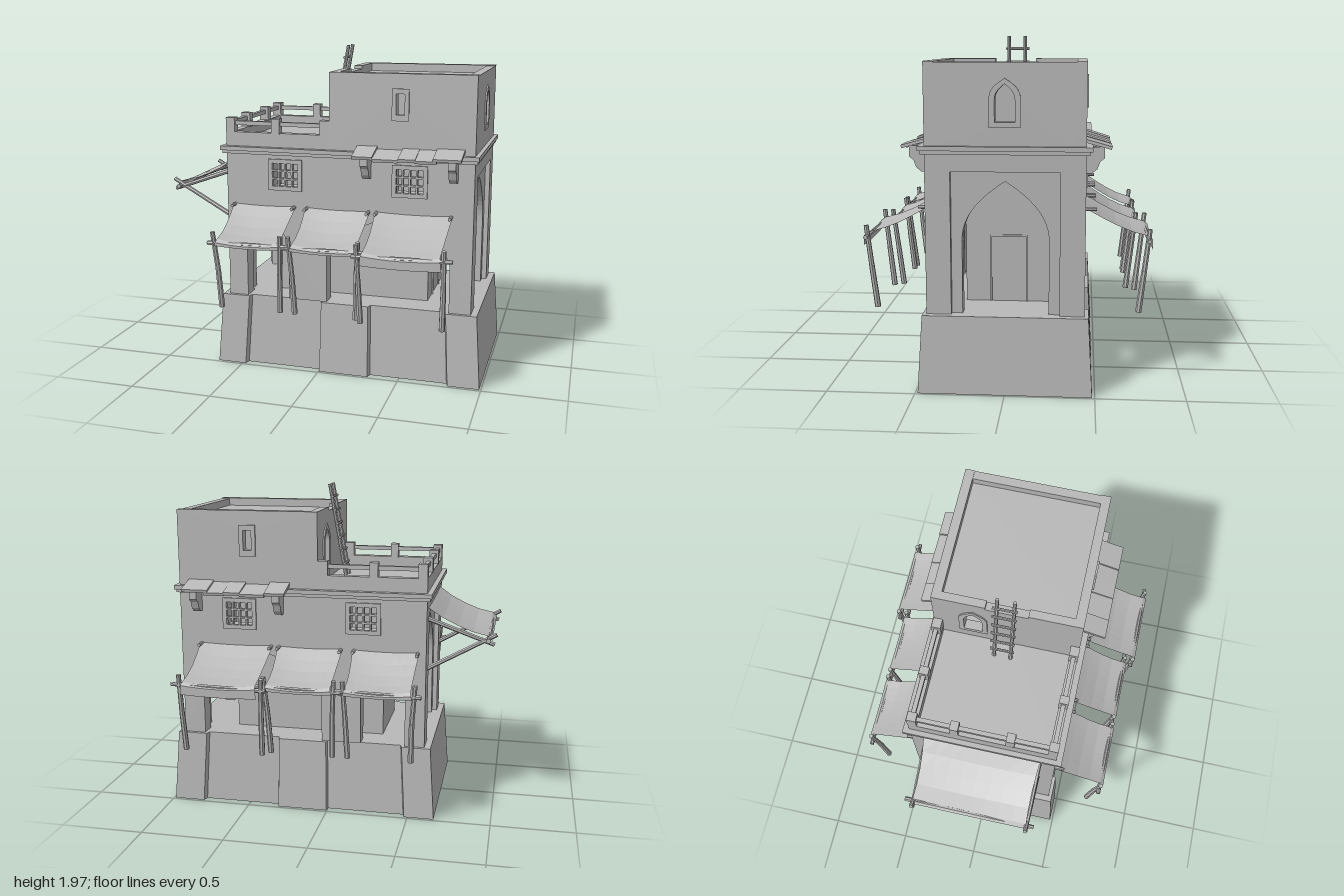
import * as THREE from 'three';

export function createModel() {
  const root = new THREE.Group();
  const clay = new THREE.MeshStandardMaterial({ color: 0xb8b8b8, flatShading: true, side: THREE.DoubleSide });
  clay.name = 'clay grey';

  const add = (name, geo, parent = root) => {
    const m = new THREE.Mesh(geo, clay);
    m.name = name;
    parent.add(m);
    return m;
  };
  // Box given by its extents
  const box = (name, x0, x1, y0, y1, z0, z1) => {
    const m = add(name, new THREE.BoxGeometry(x1 - x0, y1 - y0, Math.abs(z1 - z0)));
    m.position.set((x0 + x1) / 2, (y0 + y1) / 2, (z0 + z1) / 2);
    return m;
  };
  // Round pole between two points
  const pole = (name, a, b, r = 0.013) => {
    const A = new THREE.Vector3(...a), B = new THREE.Vector3(...b), d = B.clone().sub(A);
    const m = add(name, new THREE.CylinderGeometry(r, r * 1.1, d.length(), 7));
    m.position.copy(A).addScaledVector(d, 0.5);
    m.quaternion.setFromUnitVectors(new THREE.Vector3(0, 1, 0), d.normalize());
    return m;
  };
  const path = pts => pts.map(p => new THREE.Vector2(...p));
  const rect = (x0, x1, y0, y1) => [[x0, y0], [x0, y1], [x1, y1], [x1, y0]];
  // Pointed arch outline, from left foot over the peak to right foot
  const arch = (x0, x1, y0, spring, peak, n = 10) => {
    const c = (x0 + x1) / 2, hw = (x1 - x0) / 2, left = [], right = [];
    for (let i = 0; i <= n; i++) {
      const s = i / n, w = hw * (1 - s ** 2.2), y = spring + (peak - spring) * s;
      left.push([c - w, y]);
      if (i < n) right.unshift([c + w, y]);
    }
    return [[x0, y0], ...left, ...right, [x1, y0]];
  };
  // Wall with open notches at its foot and closed holes, extruded by t
  const wall = (name, x0, x1, y0, y1, t, notches, holes) => {
    const shape = new THREE.Shape(path([[x0, y1], [x0, y0], ...notches.flat(), [x1, y0], [x1, y1]]));
    holes.forEach(h => shape.holes.push(new THREE.Path(path(h))));
    return add(name, new THREE.ExtrudeGeometry(shape, { depth: t, bevelEnabled: false }));
  };
  // Turn a wall to lie across the building, its low-x face at x
  const across = (m, x) => { m.rotation.y = Math.PI / 2; m.position.x = x; };

  // Battered plinth, open underneath, with shallow buttresses
  const half = [[-0.66, 0.485], [-0.48, 0.485], [-0.47, 0.45], [0, 0.45], [0.005, 0.485], [0.31, 0.485],
    [0.32, 0.45], [0.79, 0.45], [0.8, 0.485], [0.99, 0.485]];
  const foot = [...half, ...half.slice().reverse().map(([x, z]) => [x, -z])];
  const head = foot.map(([x, z]) => [0.165 + (x - 0.165) * 0.962, z * 0.95]);
  const pos = [];
  foot.forEach((a, i) => {
    const j = (i + 1) % foot.length, b = foot[j], c = head[j], d = head[i];
    pos.push(a[0], 0, a[1], b[0], 0, b[1], c[0], 0.44, c[1], a[0], 0, a[1], c[0], 0.44, c[1], d[0], 0.44, d[1]);
  });
  const skirt = new THREE.BufferGeometry();
  skirt.setAttribute('position', new THREE.Float32BufferAttribute(pos, 3));
  skirt.computeVertexNormals();
  add('plinthWalls', skirt);
  const deck = add('plinthDeck', new THREE.ShapeGeometry(new THREE.Shape(path(head.map(([x, z]) => [x, -z])))));
  deck.rotation.x = -Math.PI / 2;
  deck.position.y = 0.44;

  // Ground floor long walls, with arches and grilled windows
  const T = 0.1, windows = [[-0.32, -0.11], [0.44, 0.65]];
  for (const s of [1, -1]) {
    const w = wall('longWall', -0.59, 0.92, 0.44, 1.34, T,
      [arch(-0.47, -0.2, 0.44, 0.75, 0.93), arch(0.04, 0.79, 0.44, 0.7, 0.99)],
      windows.map(([a, b]) => rect(a + 0.02, b - 0.02, 1.14, 1.29)));
    w.position.z = s > 0 ? 0.44 - T : -0.44;
    for (const [a, b] of windows) {
      const panes = [], pw = (b - a - 0.04) / 4;
      for (let i = 0; i < 4; i++) for (let j = 0; j < 3; j++)
        panes.push(rect(a + 0.025 + i * pw, a + 0.015 + (i + 1) * pw, 1.145 + j * 0.05, 1.185 + j * 0.05));
      const g = wall('windowGrille', a, b, 1.12, 1.31, 0.03, [], panes);
      g.position.z = s > 0 ? 0.42 : -0.45;
    }
  }
  // Ground floor end walls: pointed arch inside a sunken square panel
  for (const [inner, outer] of [[0.82, 0.89], [-0.56, -0.59]]) {
    across(wall('endArch', -0.34, 0.34, 0.44, 1.34, 0.07, [arch(-0.24, 0.24, 0.44, 0.85, 1.185)], []), inner);
    across(wall('endPanel', -0.34, 0.34, 0.44, 1.34, 0.03, [rect(-0.3, 0.3, 0.44, 1.24)], []), outer);
  }
  // Inner room with its door
  box('innerRoom', -0.31, 0.63, 0.44, 1.33, -0.25, 0.25);
  across(wall('doorFrame', -0.11, 0.11, 0.44, 0.835, 0.008, [rect(-0.1, 0.1, 0.44, 0.825)], []), 0.63);

  // Cornice and terrace floor
  box('corniceLower', -0.61, 0.935, 1.335, 1.36, -0.46, 0.46);
  box('corniceUpper', -0.62, 0.945, 1.355, 1.38, -0.475, 0.475);
  box('terraceFloor', -0.57, 0.9, 1.37, 1.4, -0.42, 0.42);

  // Terrace parapet, posts and rails
  for (const s of [1, -1]) {
    box('parapetSide', -0.59, 0.06, 1.38, 1.465, s * 0.39, s * 0.44);
    for (const [a, b] of [[-0.59, -0.535], [-0.3, -0.25], [0, 0.06]])
      box('parapetPost', a, b, 1.46, 1.55, s * 0.387, s * 0.443);
    box('parapetRail', -0.56, 0.03, 1.505, 1.53, s * 0.402, s * 0.428);
    box('parapetPost', -0.592, -0.535, 1.46, 1.55, s * 0.14, s * 0.19);
  }
  box('parapetEnd', -0.59, -0.54, 1.38, 1.465, -0.39, 0.39);
  box('parapetEndRail', -0.578, -0.552, 1.505, 1.53, -0.4, 0.4);

  // Roof room, with a window in every wall
  for (const s of [1, -1]) {
    const hole = rect(0.46, 0.51, 1.6, 1.72);
    wall('roofRoomSide', 0.06, 0.92, 1.38, 1.835, 0.055, [], [hole]).position.z = s > 0 ? 0.385 : -0.44;
    wall('smallWindowFrame', 0.435, 0.535, 1.565, 1.75, 0.02, [], [hole]).position.z = s > 0 ? 0.43 : -0.45;
  }
  const niche = c => arch(c - 0.055, c + 0.055, 1.51, 1.63, 1.715, 6);
  const frame = (c, x) => {
    const sh = new THREE.Shape(path(arch(c - 0.085, c + 0.085, 1.48, 1.64, 1.745, 6)));
    sh.holes.push(new THREE.Path(path(niche(c))));
    across(add('archedWindowFrame', new THREE.ExtrudeGeometry(sh, { depth: 0.02, bevelEnabled: false })), x);
  };
  across(wall('roofRoomEnd', -0.385, 0.385, 1.38, 1.83, 0.055, [], [niche(0)]), 0.865);
  across(wall('roofRoomTerraceWall', -0.385, 0.385, 1.38, 1.815, 0.05, [], [niche(0.2)]), 0.06);
  frame(0, 0.908);
  frame(0.2, 0.052);
  for (const s of [1, -1]) box('roofParapetCap', 0.06, 0.11, 1.81, 1.835, s * 0.125, s * 0.385);
  box('roofSlab', 0.1, 0.87, 1.75, 1.785, -0.39, 0.39);

  // Ladder leaning on the roof room
  for (const z of [-0.055, 0.045]) pole('ladderRail', [-0.035, 1.4, z], [0.068, 1.97, z], 0.011);
  for (let i = 0; i < 6; i++) {
    const y = 1.48 + i * 0.083, x = -0.035 + (y - 1.4) * 0.18;
    pole('ladderRung', [x - 0.008, y, -0.08], [x - 0.008, y, 0.065], 0.008);
  }

  // Sagging cloth that hangs along +z from a profile of [out, height]
  const cloth = (x0, x1, profile) => {
    const n = profile.length - 1, g = new THREE.PlaneGeometry(1, 1, 8, n), p = g.attributes.position;
    for (let i = 0; i < p.count; i++) {
      const u = p.getX(i) * 2, v = Math.round((0.5 - p.getY(i)) * n), k = Math.sin(v / n * Math.PI);
      p.setXYZ(i, (x0 + x1) / 2 + u * ((x1 - x0) / 2 - 0.012 * k),
        profile[v][1] - 0.018 * (1 - u * u) * (0.4 + k * 0.6), profile[v][0]);
    }
    g.computeVertexNormals();
    return g;
  };

  // Street awnings on posts, on both long sides: cloth ends, reach, post feet and heads
  const awnings = [
    [-0.55, -0.15, 0.74, [-0.54, -0.17], [-0.565, -0.15]],
    [-0.09, 0.31, 0.74, [-0.08, 0.29], [-0.1, 0.315]],
    [0.34, 0.8, 0.79, [0.33, 0.8], [0.315, 0.81]],
  ];
  for (const s of [1, -1]) for (const [a, b, r, feet, heads] of awnings) {
    const d = r - 0.44;
    const m = add('awningCloth', cloth(a, b, [[0.44, 1.025], [0.44 + d * 0.25, 0.975], [0.44 + d * 0.5, 0.93],
      [0.44 + d * 0.75, 0.895], [r, 0.872], [r + 0.022, 0.855], [r + 0.022, r > 0.76 ? 0.8 : 0.835]]));
    m.scale.z = s;
    pole('awningPole', [a - 0.05, 0.845, s * r], [b + 0.06, 0.855, s * r], 0.012);
    feet.forEach((x, i) => {
      const mid = [x + (i ? 0.008 : -0.006), 0.68, s * (r - 0.022)];
      pole('awningPostLower', [x, 0.44, s * (r - 0.05)], mid, 0.016);
      pole('awningPostUpper', mid, [heads[i], 0.915, s * (r + 0.005)], 0.014);
    });
    for (const x of [a + 0.01, b - 0.01]) pole('awningPeg', [x, 1.02, s * 0.42], [x, 1.02, s * 0.5], 0.01);
  }

  // End awning on braces
  const end = add('endAwningCloth', cloth(-0.36, 0.35,
    [[0.59, 1.28], [0.67, 1.225], [0.76, 1.18], [0.85, 1.145], [0.94, 1.125], [0.965, 1.1]]));
  end.rotation.y = -Math.PI / 2;
  for (const z of [-0.35, 0.345]) {
    pole('endAwningArm', [-0.57, 1.22, z], [-0.98, 1.075, z]);
    pole('endAwningBrace', [-0.57, 0.9, z], [-0.99, 1.135, z]);
  }
  pole('endAwningPole', [-0.945, 1.105, -0.4], [-0.945, 1.095, 0.39]);

  // Plank canopy on scrolled corbels
  const corbel = new THREE.Shape(path([[0.43, 1.37], [0.54, 1.37], [0.54, 1.31], [0.515, 1.29],
    [0.5, 1.25], [0.47, 1.225], [0.43, 1.225]]));
  const planks = [[0.23, 0.35, 1.385, 0.3], [0.35, 0.5, 1.372, 0.26], [0.5, 0.6, 1.38, 0.28],
    [0.595, 0.72, 1.376, 0.3], [0.7, 0.86, 1.388, 0.27]];
  for (const s of [1, -1]) {
    for (const x of [0.27, 0.78]) {
      const m = add('corbel', new THREE.ExtrudeGeometry(corbel, { depth: 0.045, bevelEnabled: false }));
      m.rotation.y = -Math.PI / 2;
      m.position.x = x + 0.045;
      m.scale.x = s;
    }
    for (const [a, b, y, tilt] of planks)
      box('canopyPlank', a, b, y - 0.009, y + 0.009, s * 0.43, s * 0.58).rotation.x = s * tilt;
  }
  return root;
}
